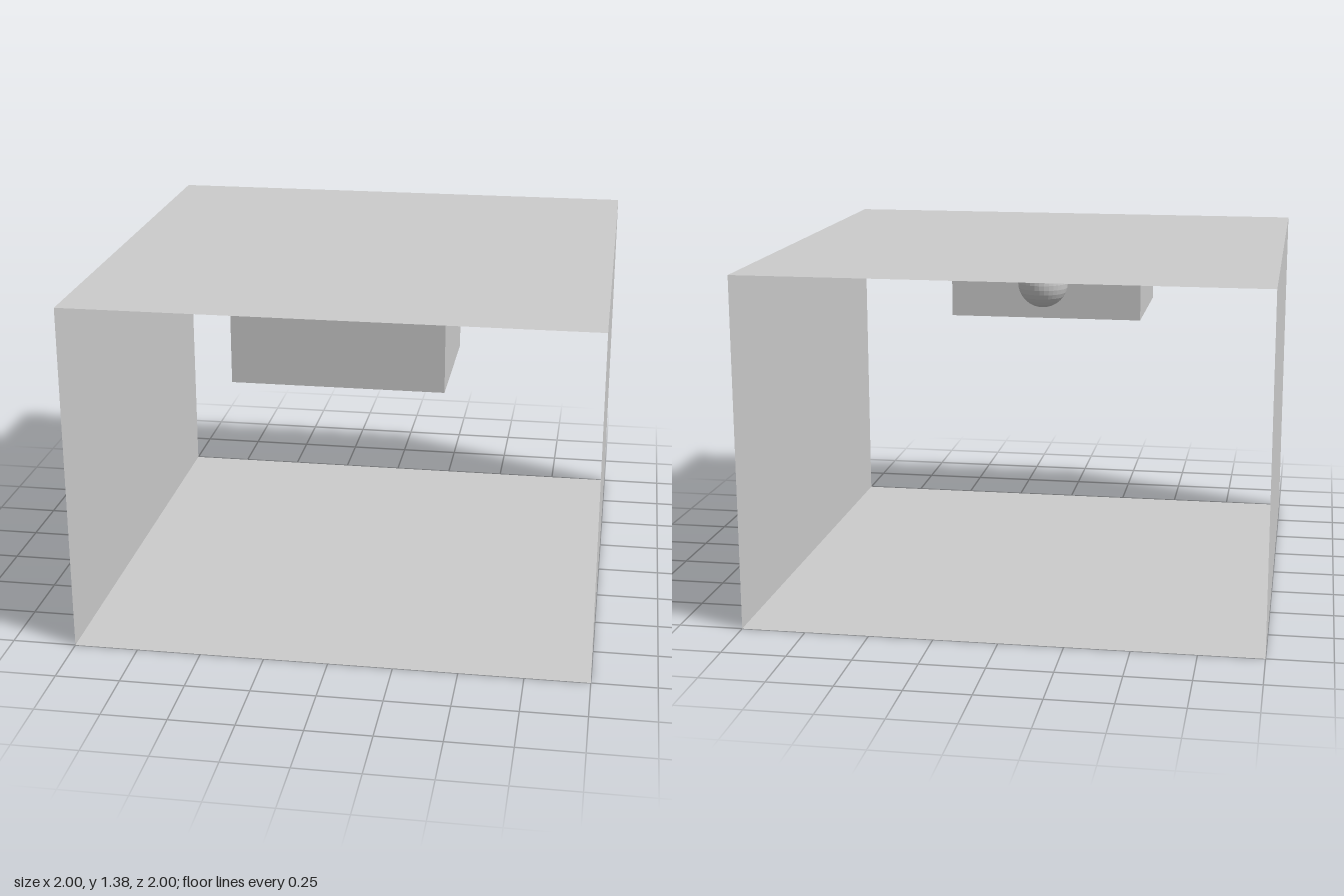
import * as THREE from 'three';

const HEIGHT = 1.375;

export function createModel() {
  const group = new THREE.Group();
  const solid = new THREE.MeshStandardMaterial({ color: 0xcccccc, flatShading: true });
  const thin = new THREE.MeshStandardMaterial({ color: 0xcccccc, side: THREE.DoubleSide });

  const add = (name, geometry, material, x, y, z) => {
    const mesh = new THREE.Mesh(geometry, material);
    mesh.name = name;
    mesh.position.set(x, y, z);
    group.add(mesh);
    return mesh;
  };

  // Paper-thin shell, open at front and back
  add('floor', new THREE.PlaneGeometry(2, 2), thin, 0, 0, 0).rotation.x = -Math.PI / 2;
  add('ceiling', new THREE.PlaneGeometry(2, 2), thin, 0, HEIGHT, 0).rotation.x = -Math.PI / 2;
  for (const [name, side] of [['leftWall', 1], ['rightWall', -1]]) {
    add(name, new THREE.PlaneGeometry(2, HEIGHT), thin, side, HEIGHT / 2, 0).rotation.y = side * Math.PI / 2;
  }

  // Box floating just under the ceiling, with a ball set into its back face
  add('hangingBox', new THREE.BoxGeometry(0.81, 0.33, 0.57), solid, 0, 1.195, 0.455);
  add('ball', new THREE.SphereGeometry(0.105, 32, 16), solid, 0, 1.195, 0.1);

  return group;
}
